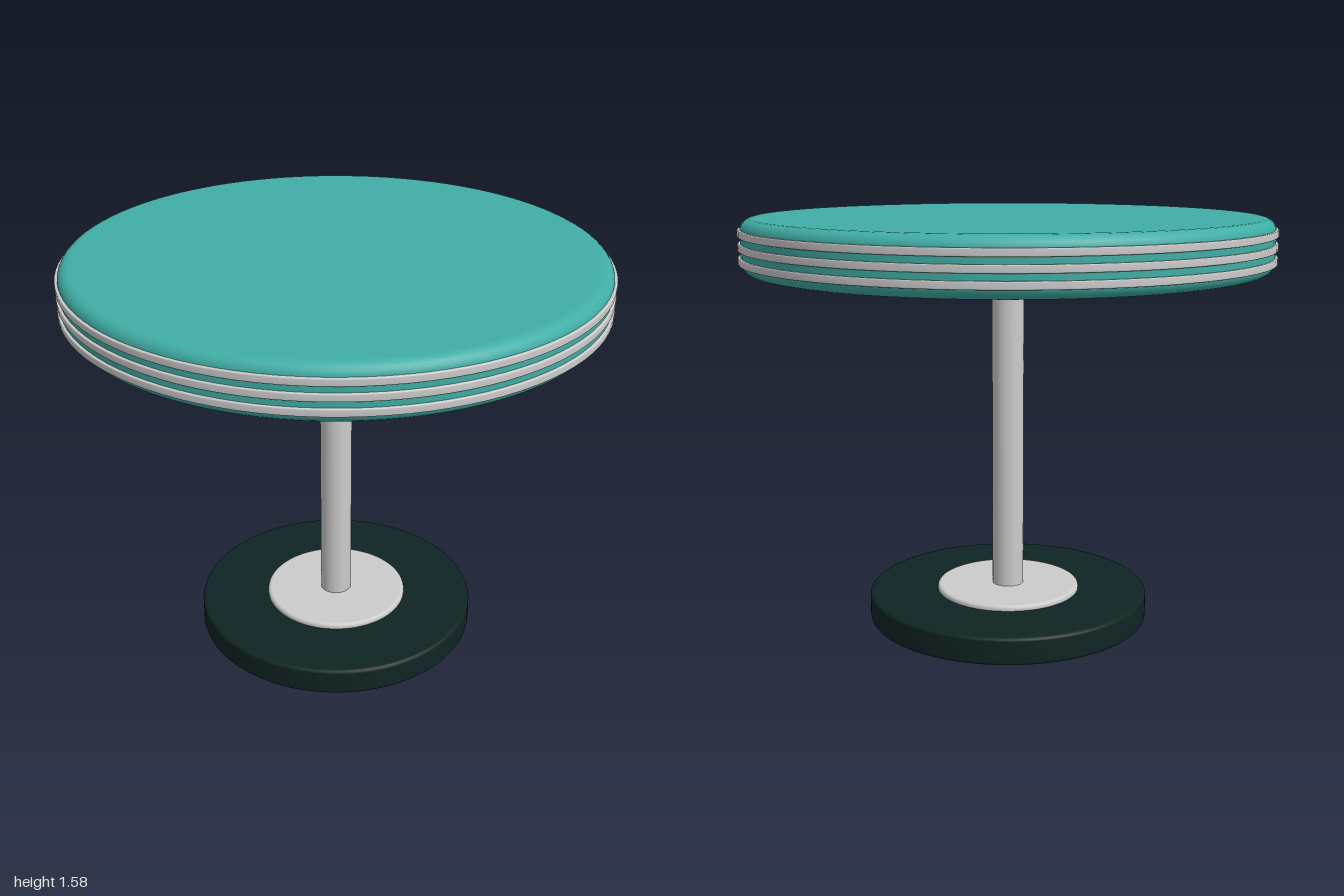
import * as THREE from 'three';

const SEGMENTS = 96;

// Solid disc with rounded rims, from y0 to y1
function roundedDisc(radius, y0, y1, round, steps = 6) {
  const pts = [new THREE.Vector2(0, y0), new THREE.Vector2(radius - round * 1.3, y0)];
  const arc = (cy, start) => {
    for (let i = 0; i <= steps; i++) {
      const a = start + (i / steps) * Math.PI / 2;
      pts.push(new THREE.Vector2(radius - round + Math.cos(a) * round, cy + Math.sin(a) * round));
    }
  };
  arc(y0 + round, -Math.PI / 2);
  arc(y1 - round, 0);
  pts.push(new THREE.Vector2(radius - round * 1.3, y1), new THREE.Vector2(0, y1));
  return new THREE.LatheGeometry(pts, SEGMENTS);
}

export function createModel() {
  const group = new THREE.Group();
  const teal = new THREE.MeshStandardMaterial({ color: 0x40aea6 });
  const dark = new THREE.MeshStandardMaterial({ color: 0x0f2423 });
  const grey = new THREE.MeshStandardMaterial({ color: 0xcccccc });

  const add = (name, geometry, material, y = 0) => {
    const mesh = new THREE.Mesh(geometry, material);
    mesh.name = name;
    mesh.position.y = y;
    group.add(mesh);
  };

  // Floor base with the collar plate on it
  add('base', roundedDisc(0.548, 0, 0.105, 0.012, 3), dark);
  add('basePlate', roundedDisc(0.28, 0.09, 0.125, 0.012, 3), grey);

  // Central column
  add('column', new THREE.CylinderGeometry(0.061, 0.061, 1.28, 48), grey, 0.75);

  // Round top with three metal trim bands
  add('tableTop', roundedDisc(0.99, 1.375, 1.575, 0.045), teal);
  [1.423, 1.473, 1.523].forEach((y, i) => {
    add(`trimBand${i + 1}`, roundedDisc(1, -0.0135, 0.0135, 0.004, 2), grey, y);
  });

  return group;
}
